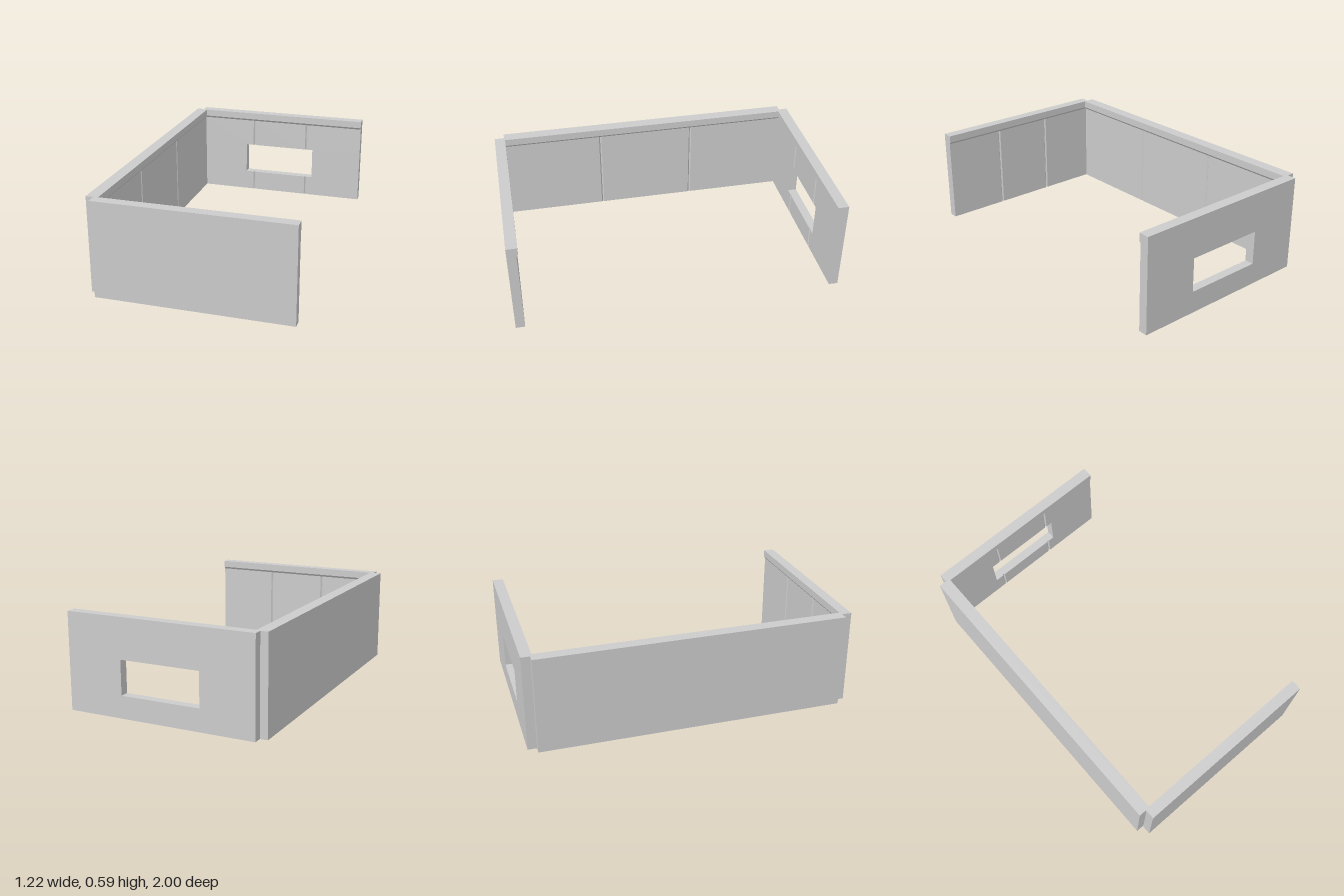
import * as THREE from 'three';

const HEIGHT = 0.59, PANEL_TOP = 0.532, BEAM_FACE = 0.545, LIP = 0.01, GROOVE = 0.008;
const material = new THREE.MeshStandardMaterial({ color: 0xcccccc, flatShading: true });

function addMesh(parent, geometry, name) {
  const mesh = new THREE.Mesh(geometry, material);
  mesh.name = name;
  parent.add(mesh);
}

function extrude(points, depth) {
  const shape = new THREE.Shape(points.map(([x, y]) => new THREE.Vector2(x, y)));
  return new THREE.ExtrudeGeometry(shape, { depth, bevelEnabled: false });
}

// Upright slab from y0 to y1 with vertical V-grooves on its inner (+z) face
function panel(u0, u1, y0, y1, thickness, grooves) {
  const points = [[u1, 0], [u0, 0], [u0, -thickness]];
  for (const u of grooves) {
    points.push([u - GROOVE, -thickness], [u, -thickness + GROOVE], [u + GROOVE, -thickness]);
  }
  points.push([u1, -thickness]);
  return extrude(points, y1 - y0).rotateX(-Math.PI / 2).translate(0, y0, 0);
}

// Wall runs along x, outer face at z = 0, inner face towards +z
function makeWall(name, length, thickness, groove, window) {
  const wall = new THREE.Group();
  wall.name = name;
  const h = length / 2, grooves = [-groove, groove];
  if (window) {
    const { u0, u1, y0, y1 } = window;
    addMesh(wall, panel(-h, h, 0, y0, thickness, grooves), 'panelBelowWindow');
    addMesh(wall, panel(-h, h, y1, PANEL_TOP, thickness, grooves), 'panelAboveWindow');
    addMesh(wall, panel(-h, u0, y0, y1, thickness, []), 'panelBesideWindow');
    addMesh(wall, panel(u1, h, y0, y1, thickness, []), 'panelBesideWindow');
  } else {
    addMesh(wall, panel(-h, h, 0, PANEL_TOP, thickness, grooves), 'panels');
  }
  // Top beam with a chamfered lip overhanging the panels
  const profile = [
    [0, PANEL_TOP], [thickness, PANEL_TOP], [thickness + LIP, BEAM_FACE],
    [thickness + LIP, HEIGHT], [0, HEIGHT],
  ];
  addMesh(wall, extrude(profile, length).rotateY(-Math.PI / 2).translate(h, 0, 0), 'topBeam');
  return wall;
}

export function createModel() {
  const model = new THREE.Group();
  model.name = 'threeSidedRoom';

  const back = makeWall('backWall', 1.177, 0.056, 0.195, { u0: -0.256, u1: 0.242, y0: 0.136, y1: 0.346 });
  back.position.set(0.0235, 0, -1);

  const front = makeWall('frontWall', 1.177, 0.056, 0.195);
  front.rotation.y = Math.PI;
  front.position.set(0.0235, 0, 1);

  const side = makeWall('sideWall', 1.885, 0.064, 0.31);
  side.rotation.y = Math.PI / 2;
  side.position.set(-0.612, 0, -0.003);

  model.add(back, front, side);
  return model;
}
